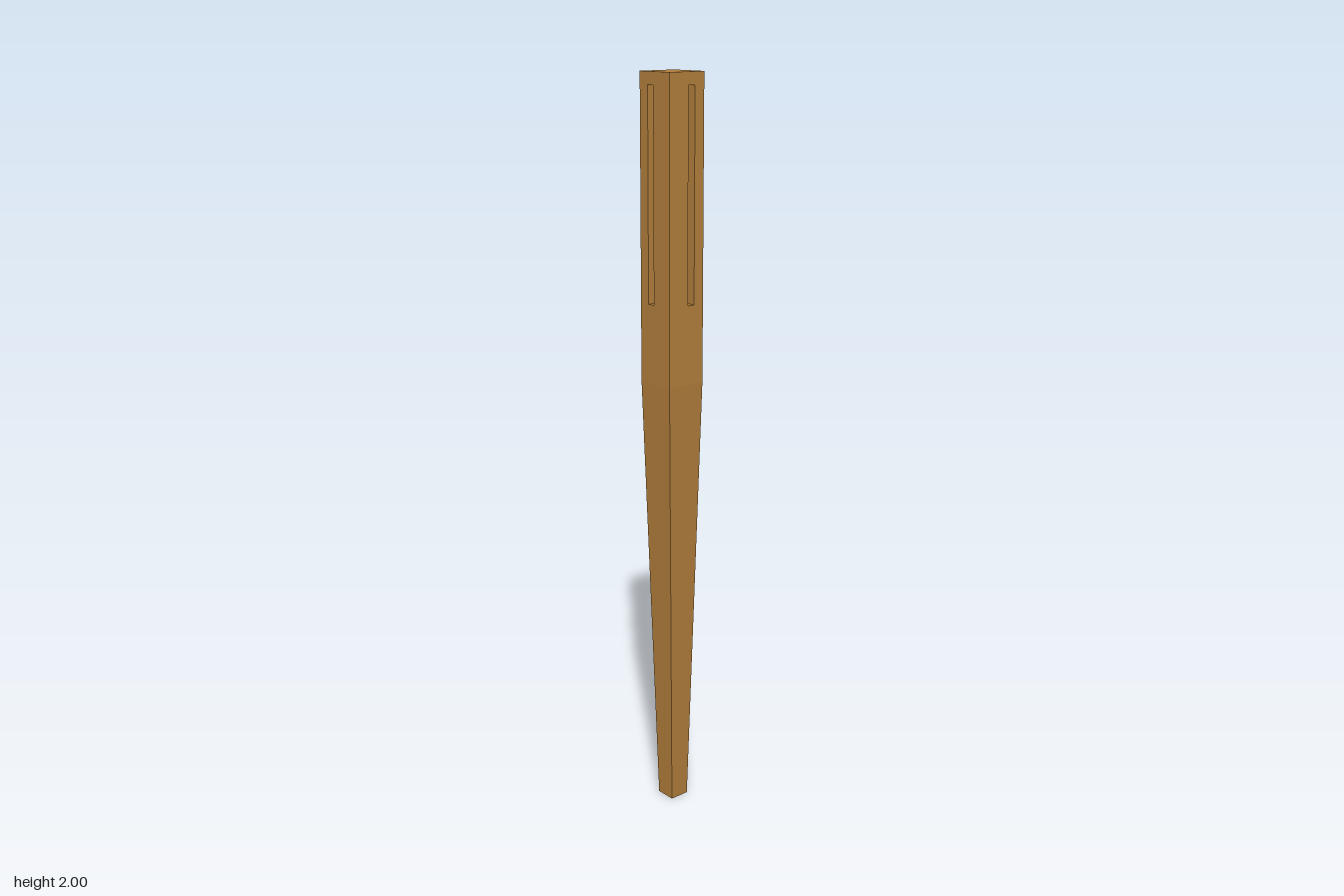
import * as THREE from 'three';

const H = 0.056;                 // half width of the square top
const TAPER_Y = 1.22, TOP_Y = 2; // start of the taper, top of the leg
const SLOT = { y0: 1.426, y1: 1.968, width: 0.021, depth: 0.05 };

// Square section corners: front left, front right, back right, back left
const ring = (y, x0, x1, z0, z1) => [[x0, y, z1], [x1, y, z1], [x1, y, z0], [x0, y, z0]];

function quadsGeometry(quads) {
  const pos = [];
  for (const [a, b, c, d] of quads) pos.push(...a, ...b, ...c, ...a, ...c, ...d);
  const geo = new THREE.BufferGeometry();
  geo.setAttribute('position', new THREE.Float32BufferAttribute(pos, 3));
  geo.computeVertexNormals();
  return geo;
}

// Open-fronted box whose walls face inward
function pocketGeometry(w, h, d) {
  const geo = new THREE.BoxGeometry(w, h, d);
  const index = Array.from(geo.index.array);
  index.splice(24, 6); // drop the +z side
  geo.setIndex(index.reverse());
  geo.computeVertexNormals();
  return geo;
}

// Upper face with a mortise, facing local +z
function mortisedFace(name, slotX, material) {
  const group = new THREE.Group();
  group.name = name;
  const rect = (path, x0, x1, y0, y1) =>
    path.moveTo(x0, y0).lineTo(x1, y0).lineTo(x1, y1).lineTo(x0, y1).closePath();
  const shape = rect(new THREE.Shape(), -H, H, TAPER_Y, TOP_Y);
  const w = SLOT.width / 2;
  shape.holes.push(rect(new THREE.Path(), slotX - w, slotX + w, SLOT.y0, SLOT.y1));
  const panel = new THREE.Mesh(new THREE.ShapeGeometry(shape), material);
  panel.name = 'panel';
  panel.position.z = H;
  const pocket = new THREE.Mesh(pocketGeometry(SLOT.width, SLOT.y1 - SLOT.y0, SLOT.depth), material);
  pocket.name = 'mortise';
  pocket.position.set(slotX, (SLOT.y0 + SLOT.y1) / 2, H - SLOT.depth / 2);
  group.add(panel, pocket);
  return group;
}

export function createModel() {
  const wood = new THREE.MeshStandardMaterial({ color: 0xb07d3b });
  wood.name = 'wood';
  const model = new THREE.Group();
  model.name = 'tableLeg';

  const foot = ring(0, 0, H, -H, 0);
  const mid = ring(TAPER_Y, -H, H, -H, H);
  const top = ring(TOP_Y, -H, H, -H, H);
  const side = (lo, hi, i) => [lo[i], lo[(i + 1) % 4], hi[(i + 1) % 4], hi[i]];

  // Lower leg, tapered on its two inner faces
  const taper = new THREE.Mesh(
    quadsGeometry([...[0, 1, 2, 3].map(i => side(foot, mid, i)), [...foot].reverse()]), wood);
  taper.name = 'taperedLeg';

  // Plain outer faces and top of the square part
  const block = new THREE.Mesh(quadsGeometry([side(mid, top, 1), side(mid, top, 2), top]), wood);
  block.name = 'squareTop';

  // The two inner faces carry mortises, set toward the outer corner
  const front = mortisedFace('frontMortisedFace', 0.0155, wood);
  const inner = mortisedFace('sideMortisedFace', -0.0155, wood);
  inner.rotation.y = -Math.PI / 2;

  model.add(taper, block, front, inner);
  return model;
}
